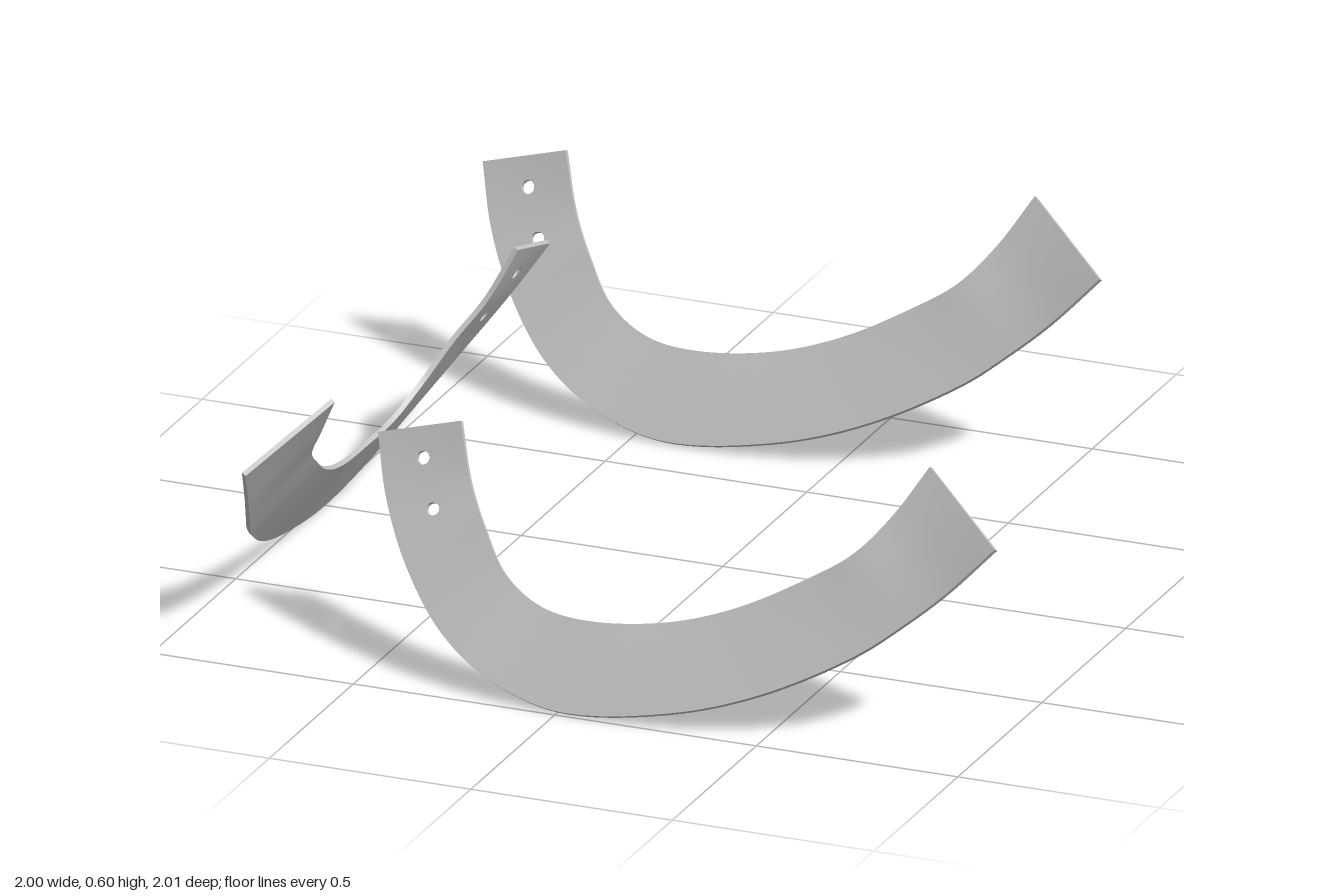
import * as THREE from 'three';
import { mergeGeometries } from 'three/addons/utils/BufferGeometryUtils.js';

const V = (p) => new THREE.Vector3(...p);
const THICK = 0.012;

// Lower and upper edge of the strap, paired from the drilled end to the folded end
const lower = new THREE.CatmullRomCurve3([
  [-0.574, 0.49, 0.676], [-0.52, 0.366, 0.757], [-0.436, 0.243, 0.842], [-0.318, 0.126, 0.92],
  [-0.185, 0.05, 0.966], [0, 0.006, 0.995], [0.275, 0.038, 0.984], [0.49, 0.104, 0.948],
  [0.70, 0.21, 0.888], [0.80, 0.284, 0.85], [0.89, 0.362, 0.815], [0.998, 0.476, 0.777],
].map(V));
const upper = new THREE.CatmullRomCurve3([
  [-0.37, 0.547, 0.672], [-0.324, 0.43, 0.728], [-0.265, 0.345, 0.785], [-0.19, 0.254, 0.835],
  [-0.088, 0.2, 0.862], [0.035, 0.188, 0.872], [0.22, 0.208, 0.857], [0.38, 0.258, 0.83],
  [0.54, 0.34, 0.79], [0.64, 0.405, 0.762], [0.715, 0.49, 0.708], [0.783, 0.6, 0.645],
].map(V));
const SEGS = lower.points.length - 1;

// Point on the strap: s runs along it in segments, t across it, d into its thickness
function at(s, t, d) {
  const u = THREE.MathUtils.clamp(s / SEGS, 0, 1);
  const a = lower.getPoint(u), b = upper.getPoint(u);
  const along = lower.getTangent(u).lerp(upper.getTangent(u), t);
  const normal = along.cross(b.clone().sub(a)).normalize();
  return a.lerp(b, t).addScaledVector(normal, -THICK * d);
}

// Grid surface from a rule over the unit square
function grid(nu, nv, rule, flip) {
  const pos = [], index = [];
  for (let i = 0; i <= nu; i++) {
    for (let j = 0; j <= nv; j++) pos.push(...rule(i / nu, j / nv).toArray());
  }
  for (let i = 0; i < nu; i++) {
    for (let j = 0; j < nv; j++) {
      const a = i * (nv + 1) + j, b = a + nv + 1;
      if (flip) index.push(a, a + 1, b + 1, a, b + 1, b);
      else index.push(a, b, b + 1, a, b + 1, a + 1);
    }
  }
  const g = new THREE.BufferGeometry();
  g.setAttribute('position', new THREE.Float32BufferAttribute(pos, 3));
  g.setIndex(index);
  g.computeVertexNormals();
  return g;
}

// Patch across the full width from s0 to s1 with a round hole at (s, 0.5)
function holePatch(s0, s1, s) {
  const rs = 0.109, rt = 0.075;
  const point = (k, angle, d) => {
    const c = Math.cos(angle), n = Math.sin(angle), m = Math.max(Math.abs(c), Math.abs(n));
    const edgeS = (c > 0 ? s1 - s : s - s0) * c / m, edgeT = 0.5 * n / m;
    return at(s + THREE.MathUtils.lerp(rs * c, edgeS, k),
      0.5 + THREE.MathUtils.lerp(rt * n, edgeT, k), d);
  };
  const full = Math.PI * 2;
  return [
    grid(3, 32, (u, v) => point(u, v * full, 0)),
    grid(3, 32, (u, v) => point(u, v * full, 1), true),
    grid(32, 1, (u, v) => point(0, u * full, v)),
  ];
}

function strapGeometry() {
  const start = 2;
  const run = (u) => start + u * (SEGS - start);
  return mergeGeometries([
    // Broad faces
    grid(72, 4, (u, v) => at(run(u), v, 0)),
    grid(72, 4, (u, v) => at(run(u), v, 1), true),
    // Drilled end
    ...holePatch(0, 0.93, 0.5),
    ...holePatch(0.93, start, 1.35),
    // Long rims and end rims
    grid(88, 1, (u, v) => at(u * SEGS, 0, v), true),
    grid(88, 1, (u, v) => at(u * SEGS, 1, v)),
    grid(4, 1, (u, v) => at(0, u, v)),
    grid(4, 1, (u, v) => at(SEGS, u, v), true),
  ]);
}

export function createModel() {
  const model = new THREE.Group();
  model.name = 'curvedStraps';
  const metal = new THREE.MeshStandardMaterial({ color: 0xc0c0c0 });
  metal.name = 'light grey metal';
  const geometry = strapGeometry();

  // Three equal straps: two facing front, one turned to the right side
  const add = (name, x, z, turn) => {
    const strap = new THREE.Mesh(geometry, metal);
    strap.name = name;
    strap.position.set(x, 0, z);
    strap.rotation.y = turn;
    model.add(strap);
  };
  add('frontStrap', 0, 0, 0);
  add('backStrap', -0.425, -1.644, 0);
  add('rightStrap', 0, 0, -Math.PI / 2);
  return model;
}
